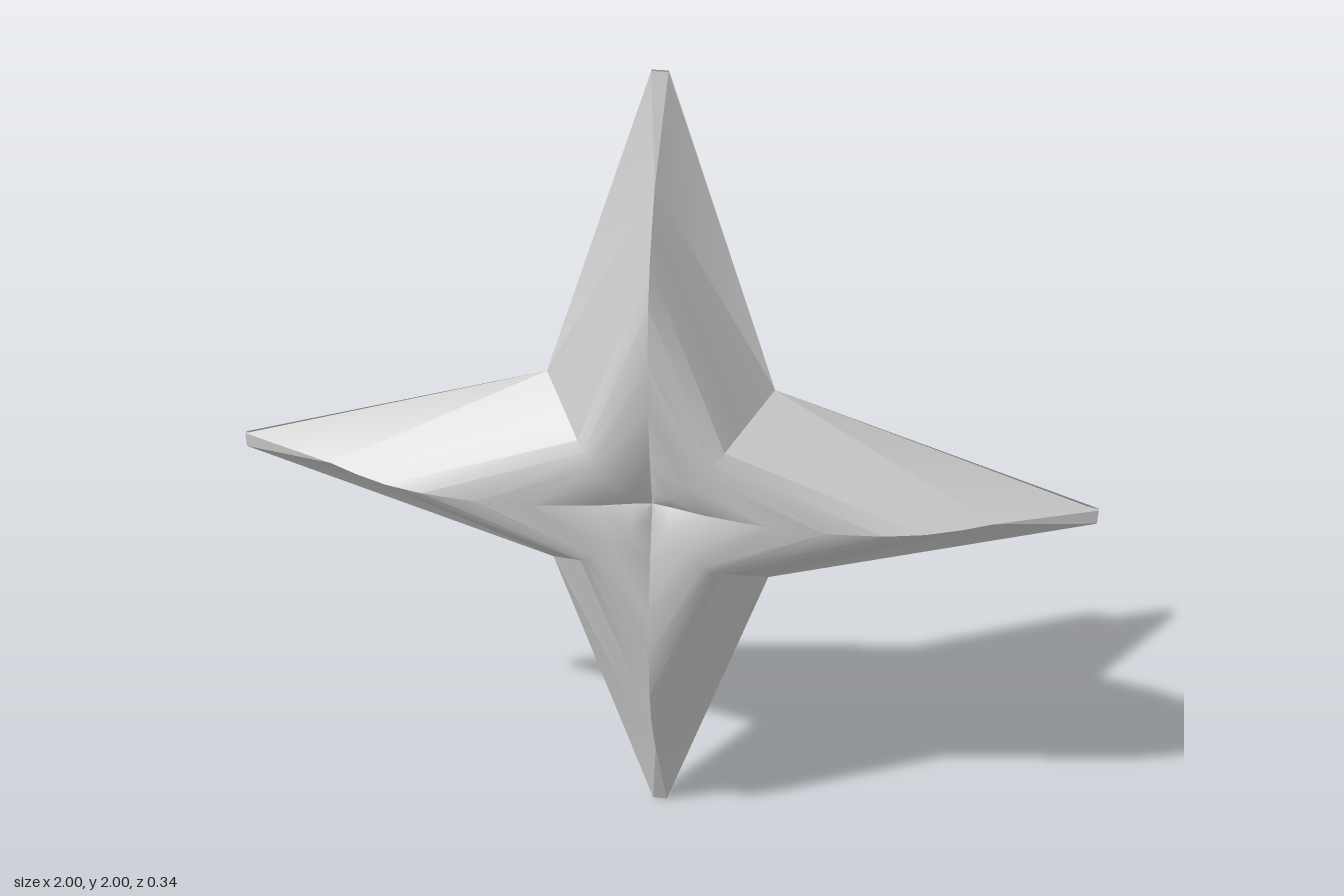
import * as THREE from 'three';
import { toCreasedNormals } from 'three/addons/utils/BufferGeometryUtils.js';

// Star-shaped rings from the rim to the centre:
// [tip distance, tip half width, notch offset, depth at tip, depth at notch]
const RINGS = [
  [1.0, 0.018, 0.26, 0.004, 0.0],
  [0.77, 0, 0.21, 0.07, 0.07],
  [0.7, 0, 0.188, 0.105, 0.1],
  [0.62, 0, 0.166, 0.137, 0.133],
  [0.53, 0, 0.148, 0.158, 0.155],
  [0.4, 0, 0.125, 0.17, 0.17],
  [0.27, 0, 0.085, 0.165, 0.168],
  [0.13, 0, 0.045, 0.143, 0.153],
  [0.04, 0, 0.015, 0.12, 0.125],
  [0, 0, 0, 0.112, 0.112],
];

// Corners of one ring, counter-clockwise: tip, tip, notch for each arm
function ringPoints([tip, half, notch, tipZ, notchZ], side) {
  const points = [];
  for (let arm = 0; arm < 4; arm++) {
    const angle = (arm * Math.PI) / 2;
    for (const [x, y, z] of [[tip, -half, tipZ], [tip, half, tipZ], [notch, notch, notchZ]]) {
      points.push(new THREE.Vector3(
        x * Math.cos(angle) - y * Math.sin(angle),
        x * Math.sin(angle) + y * Math.cos(angle) + 1,
        z * side,
      ));
    }
  }
  return points;
}

// One domed face of the star, with the dimple in its middle
function starFace(side) {
  const positions = [];
  const area = new THREE.Triangle();
  const addTriangle = (a, b, c) => {
    if (area.set(a, b, c).getArea() < 1e-7) return;
    for (const p of side > 0 ? [a, b, c] : [a, c, b]) positions.push(p.x, p.y, p.z);
  };
  const rings = RINGS.map((ring) => ringPoints(ring, side));
  for (let r = 0; r < rings.length - 1; r++) {
    const outer = rings[r], inner = rings[r + 1];
    for (let i = 0; i < 12; i++) {
      const j = (i + 1) % 12;
      // Diagonals run from the outer notch to the inner tip, so both arm sides match
      if (i % 3 === 2) {
        addTriangle(outer[i], outer[j], inner[j]);
        addTriangle(outer[i], inner[j], inner[i]);
      } else {
        addTriangle(outer[i], outer[j], inner[i]);
        addTriangle(outer[j], inner[j], inner[i]);
      }
    }
  }
  const geometry = new THREE.BufferGeometry();
  geometry.setAttribute('position', new THREE.Float32BufferAttribute(positions, 3));
  return toCreasedNormals(geometry, 0.6);
}

export function createModel() {
  const group = new THREE.Group();
  group.name = 'fourPointedStar';
  const material = new THREE.MeshStandardMaterial({ color: 0xcccccc, side: THREE.DoubleSide });
  for (const [name, side] of [['frontFace', 1], ['backFace', -1]]) {
    const mesh = new THREE.Mesh(starFace(side), material);
    mesh.name = name;
    group.add(mesh);
  }
  return group;
}
